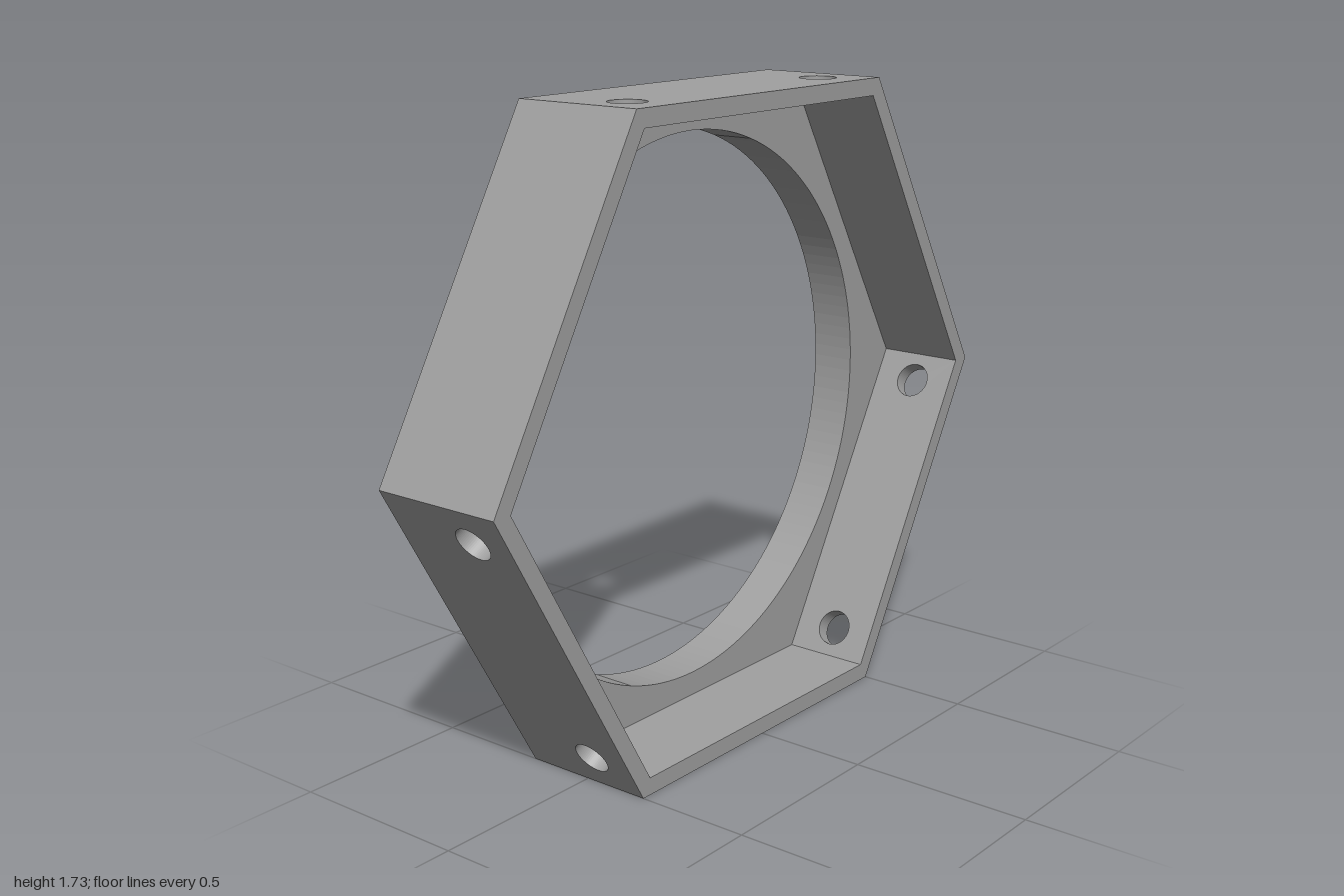
import * as THREE from 'three';

const APOTHEM = Math.sqrt(3) / 2; // outer hexagon, circumradius 1
const WALL = 0.047;               // rim wall thickness
const INNER = APOTHEM - WALL;
const BACK = -0.187, FLOOR = -0.06, FRONT = 0.187;
const HOLE_Z = 0.063, HOLE_X = 0.39, HOLE_R = 0.05;

function circlePath(x, y, r) {
  return new THREE.Path().absarc(x, y, r, 0, Math.PI * 2, true);
}

// Back plate: hexagon with a large round opening
function plateGeometry() {
  const corners = [];
  for (let i = 0; i < 6; i++) {
    const a = i * Math.PI / 3;
    corners.push(new THREE.Vector2(Math.cos(a), Math.sin(a)));
  }
  const shape = new THREE.Shape(corners);
  shape.holes.push(circlePath(0, 0, 0.752));
  const geo = new THREE.ExtrudeGeometry(shape, { depth: FLOOR - BACK, bevelEnabled: false, curveSegments: 72 });
  return geo.translate(0, 0, BACK);
}

// One rim wall, lying at the top, with mitred ends and optional screw holes
function wallGeometry(drilled) {
  const shape = new THREE.Shape([[-0.5, -FRONT], [0.5, -FRONT], [0.5, -FLOOR], [-0.5, -FLOOR]]
    .map(([x, y]) => new THREE.Vector2(x, y)));
  if (drilled) {
    for (const s of [-1, 1]) shape.holes.push(circlePath(s * HOLE_X, -HOLE_Z, HOLE_R));
  }
  const geo = new THREE.ExtrudeGeometry(shape, { depth: WALL, bevelEnabled: false, curveSegments: 32 });
  const p = geo.attributes.position;
  for (let i = 0; i < p.count; i++) {
    const x = p.getX(i);
    if (Math.abs(x) > 0.48) p.setX(i, Math.sign(x) * (INNER + p.getZ(i)) / Math.sqrt(3));
  }
  geo.computeVertexNormals();
  return geo.rotateX(-Math.PI / 2).translate(0, INNER, 0);
}

export function createModel() {
  const grey = new THREE.MeshStandardMaterial({ color: 0xa0a0a0 });
  grey.name = 'grey';

  const model = new THREE.Group();
  model.name = 'hexagonalFrame';

  const plate = new THREE.Mesh(plateGeometry(), grey);
  plate.name = 'backPlate';
  plate.position.y = APOTHEM;
  model.add(plate);

  // Every second wall carries a pair of holes
  const drilled = wallGeometry(true), plain = wallGeometry(false);
  for (let i = 0; i < 6; i++) {
    const wall = new THREE.Mesh(i % 2 === 0 ? drilled : plain, grey);
    wall.name = i % 2 === 0 ? 'drilledRimWall' : 'plainRimWall';
    wall.position.y = APOTHEM;
    wall.rotation.z = i * Math.PI / 3;
    model.add(wall);
  }
  return model;
}
